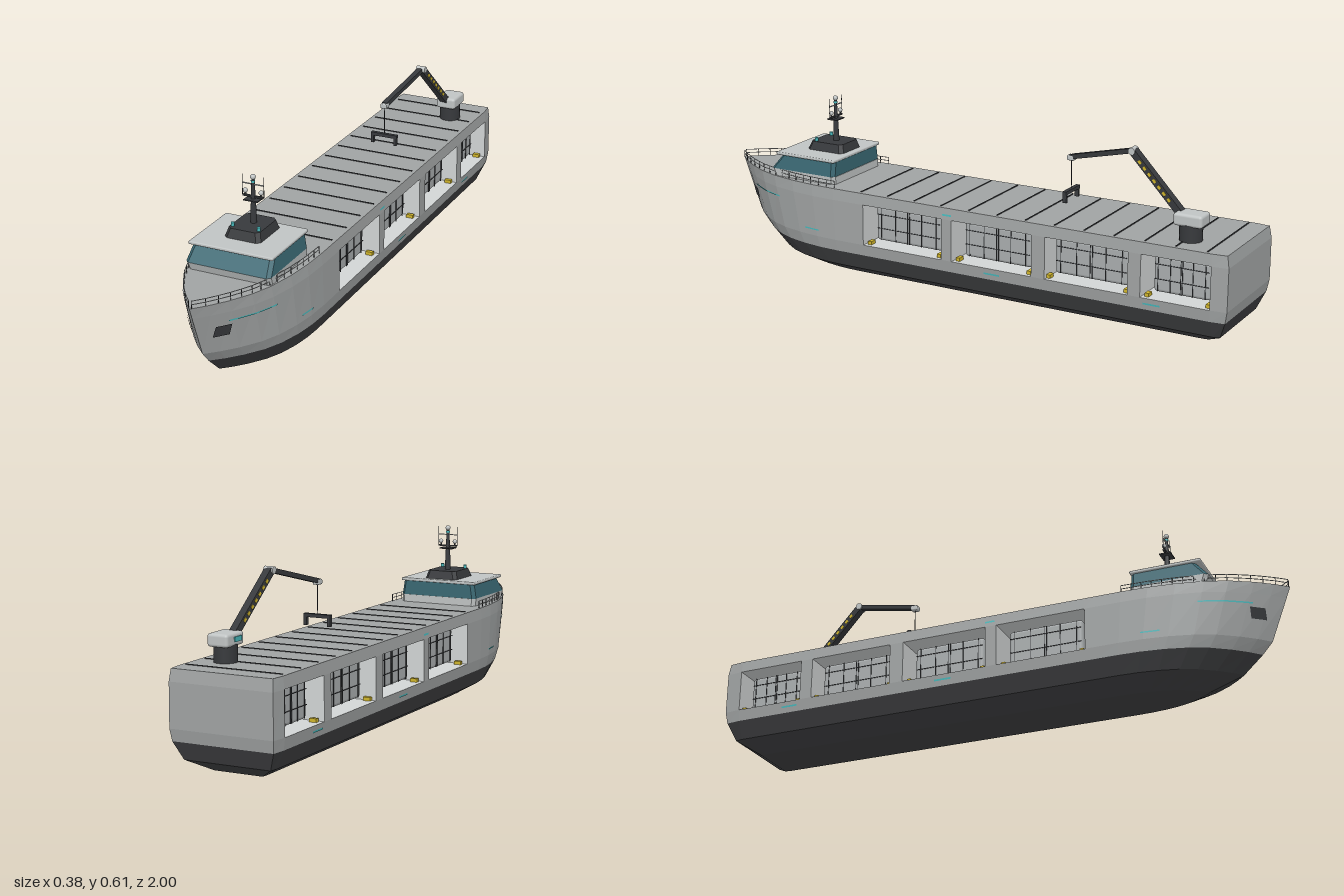
import * as THREE from 'three';
import { RoundedBoxGeometry } from 'three/addons/geometries/RoundedBoxGeometry.js';

const mat = (name, color) => Object.assign(new THREE.MeshStandardMaterial({ color }), { name });
const M = {
  hull: mat('hull grey', 0xa0a3a3), keel: mat('keel charcoal', 0x404143),
  light: mat('light grey', 0xc0c4c4), inner: mat('bay pale grey', 0xd2d5d5),
  dark: mat('dark machinery', 0x37393c), glass: mat('teal glass', 0x3a6873),
  cyan: mat('cyan marking', 0x48b8bb), yellow: mat('safety yellow', 0xd0b52c),
  tank: mat('container grey', 0xa9adae),
};
const V = (x, y, z) => new THREE.Vector3(x, y, z);

// Hull levels: height, half width, stern z, bow z
const LEVELS = [[0, 0.088, -0.9, 0.715], [0.04, 0.157, -0.965, 0.83], [0.1, 0.183, -0.99, 0.895],
  [0.14, 0.188, -0.997, 0.93], [0.285, 0.187, -0.997, 0.985], [0.325, 0.183, -0.99, 1]];
const MID = [-0.94, -0.7, -0.655, -0.355, -0.305, 0, 0.04, 0.355, 0.39];
const BOW = [[0, 1], [0.15, 1], [0.3, 0.98], [0.45, 0.92], [0.6, 0.81], [0.72, 0.66], [0.84, 0.43], [0.93, 0.21], [1, 0]];
const BAYS = [1, 3, 5, 7];
const Z0 = 0.39;

function taper(f) {
  if (f <= 0) return 1;
  for (let i = 1; i < BOW.length; i++) {
    const [a, p] = BOW[i - 1], [b, q] = BOW[i];
    if (f <= b) return p + (q - p) * (f - a) / (b - a);
  }
  return 0;
}
function hullX(y, z) {
  let i = 1;
  while (i < LEVELS.length - 1 && y > LEVELS[i][0]) i++;
  const a = LEVELS[i - 1], b = LEVELS[i], t = (y - a[0]) / (b[0] - a[0]);
  const bow = a[3] + (b[3] - a[3]) * t;
  return (a[1] + (b[1] - a[1]) * t) * taper((z - Z0) / (bow - Z0));
}

// Faceted surface collected quad by quad, corners counter-clockwise
class Faces {
  constructor() { this.p = []; }
  quad(a, b, c, d) { for (const v of [a, b, c, a, c, d]) this.p.push(v.x, v.y, v.z); }
  both(a, b, c, d) {
    this.quad(a, b, c, d);
    this.quad(...[d, c, b, a].map(v => V(-v.x, v.y, v.z)));
  }
  mesh(name, material) {
    const g = new THREE.BufferGeometry();
    g.setAttribute('position', new THREE.Float32BufferAttribute(this.p, 3));
    g.computeVertexNormals();
    const m = new THREE.Mesh(g, material);
    m.name = name;
    return m;
  }
}
const flip = v => V(-v.x, v.y, v.z);

export function createModel() {
  const root = new THREE.Group();
  root.name = 'cargoShip';
  const add = (name, geo, m, x = 0, y = 0, z = 0, parent = root) => {
    const o = new THREE.Mesh(geo, m);
    o.name = name;
    o.position.set(x, y, z);
    parent.add(o);
    return o;
  };
  const box = (name, m, w, h, d, x, y, z, parent) => add(name, new THREE.BoxGeometry(w, h, d), m, x, y, z, parent);
  const cyl = (name, m, r0, r1, h, x, y, z, parent) => add(name, new THREE.CylinderGeometry(r1, r0, h, 16), m, x, y, z, parent);
  const beam = (name, m, a, b, w, h, parent) => {
    const o = box(name, m, w, h, a.distanceTo(b), 0, 0, 0, parent);
    o.position.copy(a).lerp(b, 0.5);
    o.lookAt(b);
    return o;
  };

  // Hull shell with open cargo bays
  const rows = LEVELS.map(([y, w, stern, bow]) => [
    V(w * 0.97, y, stern),
    ...MID.map(z => V(w, y, Math.max(z, stern + 0.02))),
    ...BOW.slice(1).map(([f, k]) => V(w * k, y, Z0 + f * (bow - Z0))),
  ]);
  const upper = new Faces(), lower = new Faces(), bay = new Faces();
  const cap = (F, row, s, up) => {
    const q = [flip(row[s + 1]), row[s + 1], row[s], flip(row[s])];
    F.quad(...(up ? q : q.reverse()));
  };
  const wall = (F, l, s, front) => {
    const a = rows[l][s], b = rows[l + 1][s];
    const q = [flip(a), a, b, flip(b)];
    F.quad(...(front ? q : q.reverse()));
  };
  for (let l = 0; l < 5; l++) {
    const F = l < 2 ? lower : upper;
    wall(F, l, 0, false);
    for (let s = 0; s < rows[0].length - 1; s++) {
      if (l === 3 && BAYS.includes(s)) continue;
      F.both(rows[l][s + 1], rows[l][s], rows[l + 1][s], rows[l + 1][s + 1]);
    }
  }
  for (let s = 0; s < rows[0].length - 1; s++) {
    cap(lower, rows[0], s, false);
    cap(upper, rows[5], s, true);
  }
  for (const s of BAYS) {
    cap(bay, rows[3], s, true);
    cap(bay, rows[4], s, false);
    wall(bay, 3, s, true);
    wall(bay, 3, s + 1, false);
  }
  root.add(upper.mesh('upperHull', M.hull), lower.mesh('lowerHull', M.keel), bay.mesh('cargoBays', M.inner));

  // Hatch seams across the deck
  for (let i = 0; i < 13; i++) box('deckSeam', M.dark, 0.34, 0.003, 0.004, 0, 0.326, -0.92 + i * 0.1077);

  // Thin plates that follow the hull side
  const plate = (name, m, y0, y1, z0, z1, off = 0.002) => {
    const F = new Faces(), n = 6;
    const P = (y, i) => { const z = z0 + (z1 - z0) * i / n; return V(hullX(y, z) + off, y, z + (z > 0.6 ? off : 0)); };
    for (let i = 0; i < n; i++) F.both(P(y0, i + 1), P(y0, i), P(y1, i), P(y1, i + 1));
    root.add(F.mesh(name, m));
  };
  plate('bowStripe', M.cyan, 0.251, 0.256, 0.73, 0.89);
  plate('sideMark', M.cyan, 0.161, 0.166, 0.545, 0.605);
  plate('sideMark', M.cyan, 0.298, 0.304, 0, 0.035);
  plate('sideMark', M.cyan, 0.118, 0.124, -0.185, -0.125);
  plate('sideMark', M.cyan, 0.118, 0.124, -0.77, -0.71);
  plate('anchorPocket', M.dark, 0.202, 0.24, 0.88, 0.922, 0.003);

  // Containers with lashing bars, and yellow stops on the bay floors
  for (const [z0, z1] of [[0.067, 0.33], [-0.28, -0.025], [-0.635, -0.37], [-0.92, -0.725]]) {
    const g = new THREE.Group(), zc = (z0 + z1) / 2, L = z1 - z0;
    g.name = 'containerBay';
    root.add(g);
    add('container', new RoundedBoxGeometry(0.28, 0.125, L, 3, 0.012), M.tank, 0, 0.2125, zc, g);
    for (const s of [-1, 1]) {
      for (const y of [0.195, 0.245]) box('lashingBar', M.dark, 0.003, 0.002, L * 0.96, s * 0.141, y, zc, g);
      for (const k of [-0.42, -0.2, -0.015, 0.015, 0.2, 0.42]) box('lashingBar', M.dark, 0.003, 0.118, 0.002, s * 0.141, 0.2125, zc + k * L, g);
      for (const z of [z0 - 0.008, z1 + 0.008]) box('floorStop', M.yellow, 0.025, 0.012, 0.014, s * 0.16, 0.146, z, g);
    }
  }

  // Bridge: tapered blocks with chamfered corners
  const ring = (w, y, z0, z1, c) => [[w - c, z1], [w, z1 - c], [w, z0 + c], [w - c, z0],
    [c - w, z0], [-w, z0 + c], [-w, z1 - c], [c - w, z1]].map(([x, z]) => V(x, y, z));
  const block = (name, m, a, b) => {
    const F = new Faces();
    for (let i = 0; i < 8; i++) { const j = (i + 1) % 8; F.quad(a[i], a[j], b[j], b[i]); }
    for (let i = 1; i < 7; i += 2) {
      F.quad(b[0], b[i], b[i + 1], b[Math.min(i + 2, 7)]);
      F.quad(a[0], a[Math.min(i + 2, 7)], a[i + 1], a[i]);
    }
    root.add(F.mesh(name, m));
  };
  block('bridgeBase', M.light, ring(0.147, 0.32, 0.5, 0.755, 0.012), ring(0.149, 0.352, 0.5, 0.768, 0.012));
  block('bridgeWindows', M.glass, ring(0.149, 0.352, 0.502, 0.768, 0.012), ring(0.141, 0.403, 0.502, 0.725, 0.012));
  add('bridgeRoof', new RoundedBoxGeometry(0.296, 0.011, 0.245, 2, 0.004), M.light, 0, 0.408, 0.6225);
  block('mastHouse', M.dark, ring(0.064, 0.412, 0.522, 0.672, 0.012), ring(0.055, 0.443, 0.53, 0.66, 0.012));
  for (const s of [-1, 1]) cyl('beacon', M.cyan, 0.006, 0.006, 0.012, s * 0.046, 0.449, 0.64);

  // Mast with lamps and aerials
  const mast = new THREE.Group();
  mast.name = 'mast';
  mast.position.z = 0.587;
  root.add(mast);
  cyl('mastPole', M.dark, 0.011, 0.005, 0.147, 0, 0.516, 0, mast);
  cyl('mastBand', M.cyan, 0.007, 0.007, 0.006, 0, 0.582, 0, mast);
  add('topLamp', new THREE.SphereGeometry(0.009, 16, 12), M.light, 0, 0.597, 0, mast);
  box('upperYard', M.light, 0.076, 0.003, 0.004, 0, 0.572, 0, mast);
  box('middleYard', M.dark, 0.072, 0.005, 0.008, 0, 0.531, 0, mast);
  box('lowerYard', M.dark, 0.05, 0.004, 0.04, 0, 0.522, 0, mast);
  for (const s of [-1, 1]) {
    cyl('aerial', M.dark, 0.001, 0.001, 0.07, s * 0.038, 0.566, 0, mast);
    cyl('lampStem', M.dark, 0.003, 0.003, 0.012, s * 0.028, 0.537, 0, mast);
    add('yardLamp', new THREE.SphereGeometry(0.008, 16, 12), M.light, s * 0.028, 0.547, 0, mast);
  }

  // Foredeck railing along the hull edge
  const rail = new THREE.Group();
  rail.name = 'bowRailing';
  root.add(rail);
  const edge = [];
  for (let i = 0; i <= 15; i++) { const z = 0.48 + i * 0.0343; edge.push(V(hullX(0.325, z) * 0.96, 0.325, z)); }
  for (const s of [-1, 1]) edge.forEach((p, i) => {
    const at = (q, y) => V(q.x * s, y, q.z);
    box('railPost', M.dark, 0.0018, 0.026, 0.0018, p.x * s, 0.337, p.z, rail);
    if (i) for (const y of [0.338, 0.35]) beam('railBar', M.light, at(edge[i - 1], y), at(p, y), 0.002, 0.002, rail);
  });

  // Deck crane
  const crane = new THREE.Group();
  crane.name = 'crane';
  root.add(crane);
  const foot = V(0.08, 0.405, -0.79), knee = V(0.058, 0.583, -0.605), tip = V(0.021, 0.52, -0.365);
  cyl('cranePedestal', M.dark, 0.038, 0.038, 0.06, 0.086, 0.352, -0.826, crane);
  add('craneHousing', new RoundedBoxGeometry(0.074, 0.042, 0.1, 3, 0.01), M.light, 0.086, 0.397, -0.826, crane);
  box('craneCabWindow', M.cyan, 0.004, 0.016, 0.04, 0.048, 0.398, -0.815, crane);
  beam('lowerBoom', M.dark, foot, knee, 0.026, 0.024, crane);
  beam('upperBoom', M.dark, knee, tip, 0.02, 0.016, crane);
  for (let i = 0; i < 7; i++) {
    const t = 0.2 + i * 0.1;
    beam('boomStripe', M.yellow, foot.clone().lerp(knee, t), foot.clone().lerp(knee, t + 0.05), 0.029, 0.01, crane);
  }
  cyl('boomKnee', M.light, 0.012, 0.012, 0.034, knee.x, knee.y, knee.z, crane).rotation.z = Math.PI / 2;
  add('boomTip', new RoundedBoxGeometry(0.024, 0.018, 0.026, 2, 0.004), M.light, tip.x, 0.517, tip.z, crane);
  cyl('craneCable', M.dark, 0.0015, 0.0015, 0.11, tip.x, 0.46, tip.z, crane);
  box('spreaderBar', M.dark, 0.1, 0.012, 0.014, tip.x, 0.405, tip.z, crane);
  for (const s of [-1, 1]) box('spreaderLeg', M.dark, 0.01, 0.03, 0.014, tip.x + s * 0.044, 0.387, tip.z, crane);

  return root;
}
